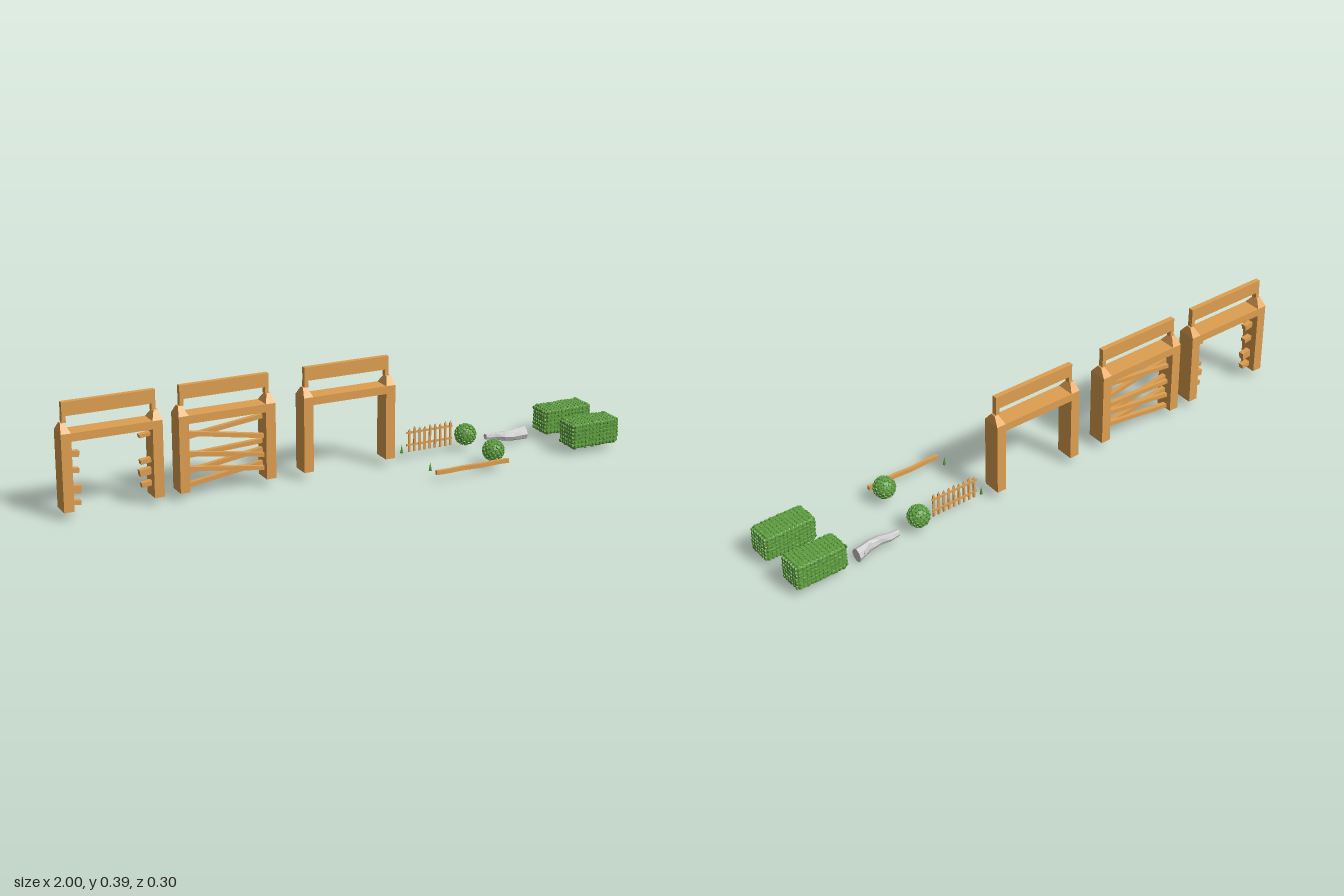
import * as THREE from 'three';
import { mergeGeometries } from 'three/addons/utils/BufferGeometryUtils.js';
import { RoundedBoxGeometry } from 'three/addons/geometries/RoundedBoxGeometry.js';

const mat = (color) => new THREE.MeshStandardMaterial({ color, flatShading: true });
const wood = mat(0xe0a050), leafy = mat(0x5f9f40), grey = mat(0xcccccc);
const BASE = 0.03, ROW_Z = -0.103;

let seed = 7;
const rand = () => (seed = (seed * 16807) % 2147483647) / 2147483647 - 0.5;

function add(parent, name, geo, material, x = 0, y = 0, z = 0) {
  const m = new THREE.Mesh(geo, material);
  m.name = name;
  m.position.set(x, y, z);
  parent.add(m);
  return m;
}

// box between two points of the xy plane
function bar(parent, name, x0, y0, x1, y1, h, depth) {
  const m = add(parent, name, new THREE.BoxGeometry(Math.hypot(x1 - x0, y1 - y0), h, depth),
    wood, (x0 + x1) / 2, (y0 + y1) / 2);
  m.rotation.z = Math.atan2(y1 - y0, x1 - x0);
  return m;
}

// post cap: wide foot narrowing to the crest board
function capGeometry(side) {
  const g = new THREE.BoxGeometry(0.035, 0.03, 0.066);
  const p = g.attributes.position;
  for (let i = 0; i < p.count; i++) if (p.getY(i) > 0) {
    p.setX(i, p.getX(i) * 0.4 + side * 0.003);
    p.setZ(i, p.getZ(i) * 0.28);
  }
  return g;
}

function gate(name, x) {
  const g = new THREE.Group();
  g.name = name;
  g.position.set(x, 0, ROW_Z);
  for (const s of [-1, 1]) {
    add(g, 'post', new THREE.BoxGeometry(0.035, 0.265, 0.066), wood, s * 0.1555, BASE + 0.1325);
    add(g, 'postCap', capGeometry(s), wood, s * 0.1555, 0.31);
    add(g, 'capNeck', new THREE.BoxGeometry(0.014, 0.025, 0.018), wood, s * 0.1525, 0.3365);
  }
  add(g, 'lintel', new THREE.BoxGeometry(0.276, 0.028, 0.066), wood, 0, 0.281);
  add(g, 'crestBoard', new THREE.BoxGeometry(0.318, 0.047, 0.018), wood, 0, 0.3705);
  return g;
}

// leaf pads merged into one shell; spots are [position, normal, width]
function foliage(parent, spots) {
  const leaves = spots.map(([pos, n, w]) => {
    const g = new THREE.CylinderGeometry(w * 0.38, w * 0.52, 0.006, 7);
    g.scale(1, 1, 0.9 + rand() * 0.3);
    const dir = n.clone().add(new THREE.Vector3(rand(), rand(), rand()).multiplyScalar(0.3)).normalize();
    g.applyQuaternion(new THREE.Quaternion().setFromUnitVectors(new THREE.Vector3(0, 1, 0), dir));
    return g.translate(pos.x, pos.y, pos.z);
  });
  add(parent, 'leaves', mergeGeometries(leaves), leafy);
}

function hedge(z) {
  const g = new THREE.Group();
  g.name = 'hedge';
  g.position.set(0.898, 0.072, z);
  const size = [0.186, 0.088, 0.088], step = 0.0155;
  add(g, 'hedgeCore', new RoundedBoxGeometry(...size, 2, 0.012), leafy);
  const spots = [];
  for (let a = 0; a < 3; a++) for (const s of [-1, 1]) {
    const b = (a + 1) % 3, c = (a + 2) % 3;
    const nb = Math.round(size[b] / step), nc = Math.round(size[c] / step);
    for (let i = 0; i < nb; i++) for (let j = 0; j < nc; j++) {
      const pos = new THREE.Vector3(), n = new THREE.Vector3();
      pos.setComponent(a, s * (size[a] / 2 + rand() * 0.003));
      pos.setComponent(b, ((i + 0.5) / nb - 0.5) * size[b] * 0.95);
      pos.setComponent(c, ((j + 0.5) / nc - 0.5) * size[c] * 0.95);
      n.setComponent(a, s);
      spots.push([pos, n, step * 1.1]);
    }
  }
  foliage(g, spots);
  return g;
}

function roundBush(z) {
  const g = new THREE.Group(), r = 0.036, count = 90;
  g.name = 'roundBush';
  g.position.set(0.5, 0.061, z);
  add(g, 'bushCore', new THREE.IcosahedronGeometry(r, 2), leafy);
  const spots = [];
  for (let i = 0; i < count; i++) {
    const y = 1 - (2 * (i + 0.5)) / count, q = Math.sqrt(1 - y * y), t = i * 2.39996;
    const n = new THREE.Vector3(q * Math.cos(t), y, q * Math.sin(t));
    spots.push([n.clone().multiplyScalar(r), n, 0.014]);
  }
  foliage(g, spots);
  return g;
}

// tapering trunk through rings [x, y, z, radius]
function trunk(rings, sides = 8) {
  const pos = [], idx = [], n = rings.length;
  for (const [x, y, z, r] of rings) for (let k = 0; k < sides; k++) {
    const a = (k / sides) * Math.PI * 2, q = r * (1 + rand() * 0.15);
    pos.push(x, y + Math.sin(a) * q, z + Math.cos(a) * q);
  }
  for (const [x, y, z] of [rings[0], rings[n - 1]]) pos.push(x, y, z);
  for (let k = 0; k < sides; k++) {
    const l = (k + 1) % sides, e = (n - 1) * sides;
    for (let i = 0; i < n - 1; i++) {
      const a = i * sides + k, b = i * sides + l;
      idx.push(a, b, a + sides, b, b + sides, a + sides);
    }
    idx.push(n * sides, l, k, n * sides + 1, e + k, e + l);
  }
  const g = new THREE.BufferGeometry();
  g.setAttribute('position', new THREE.Float32BufferAttribute(pos, 3));
  g.setIndex(idx);
  // face outward
  for (let i = 0; i < idx.length; i += 3) [idx[i + 1], idx[i + 2]] = [idx[i + 2], idx[i + 1]];
  g.setIndex(idx);
  g.computeVertexNormals();
  return g;
}

export function createModel() {
  const model = new THREE.Group();
  grey.side = THREE.DoubleSide;

  // gate with snapped rails
  const broken = gate('brokenGate', -0.827);
  for (const [y, h, len] of [[0.216, 0.02, 0.034], [0.16, 0.016, 0.032], [0.095, 0.026, 0.036], [0.05, 0.016, 0.034]])
    bar(broken, 'brokenRail', -0.14, y + 0.003, -0.14 + len, y - 0.002, h, 0.02);
  for (const [y, h, len] of [[0.243, 0.012, 0.04], [0.153, 0.015, 0.038], [0.115, 0.022, 0.042], [0.073, 0.016, 0.036]])
    bar(broken, 'brokenRail', 0.14, y + 0.003, 0.14 - len, y - 0.002, h, 0.02);

  // gate closed by crooked rails
  const barred = gate('barredGate', -0.425);
  [[0.21, 0.245], [0.228, 0.178], [0.145, 0.158], [0.158, 0.112], [0.088, 0.128], [0.105, 0.065], [0.042, 0.08]]
    .forEach(([a, b], i) => {
      bar(barred, 'crookedRail', -0.14, a, 0.14, b, 0.015, 0.016).position.z = (i % 2 - 0.5) * 0.012;
    });
  model.add(broken, barred, gate('openGate', 0.026));

  // picket fence
  const fence = new THREE.Group();
  fence.name = 'picketFence';
  fence.position.z = -0.106;
  for (let i = 0; i < 9; i++) {
    const x = 0.275 + i * 0.0205, top = 0.11 + rand() * 0.008;
    add(fence, 'picket', new THREE.BoxGeometry(0.008, top - BASE, 0.004), wood, x, (top + BASE) / 2);
    const tip = add(fence, 'picketTip', new THREE.ConeGeometry(0.0056, 0.01, 4), wood, x, top + 0.005);
    tip.geometry.rotateY(Math.PI / 4);
    tip.scale.z = 0.5;
  }
  for (const y of [0.1, 0.055])
    add(fence, 'fenceRail', new THREE.BoxGeometry(0.182, 0.007, 0.004), wood, 0.356, y, -0.002);
  model.add(fence);

  // slightly warped beam
  const beam = new THREE.BoxGeometry(0.282, 0.015, 0.011, 10, 1, 1), p = beam.attributes.position;
  for (let i = 0; i < p.count; i++) p.setZ(i, p.getZ(i) + Math.sin(p.getX(i) * 45) * 0.002);
  add(model, 'beam', beam, wood, 0.386, 0.037, 0.143);

  // sprouts, round bushes and hedges
  for (const z of [-0.106, 0.1]) {
    add(model, 'sprout', new THREE.ConeGeometry(0.006, 0.03, 5), leafy, 0.245, 0.045, z);
  }
  model.add(roundBush(-0.106), roundBush(0.088), hedge(-0.103), hedge(0.078));

  // fallen log with a broken branch
  const log = new THREE.Group();
  log.name = 'fallenLog';
  add(log, 'logTrunk', trunk([[0.585, 0.037, -0.112, 0.011], [0.62, 0.035, -0.11, 0.014], [0.655, 0.033, -0.1, 0.017],
    [0.69, 0.03, -0.1, 0.019], [0.72, 0.029, -0.108, 0.021], [0.75, 0.028, -0.114, 0.024]]), grey);
  add(log, 'logBranch', trunk([[0.685, 0.035, -0.105, 0.012], [0.71, 0.04, -0.122, 0.008], [0.735, 0.042, -0.138, 0.003]], 6), grey);
  model.add(log);
  return model;
}
